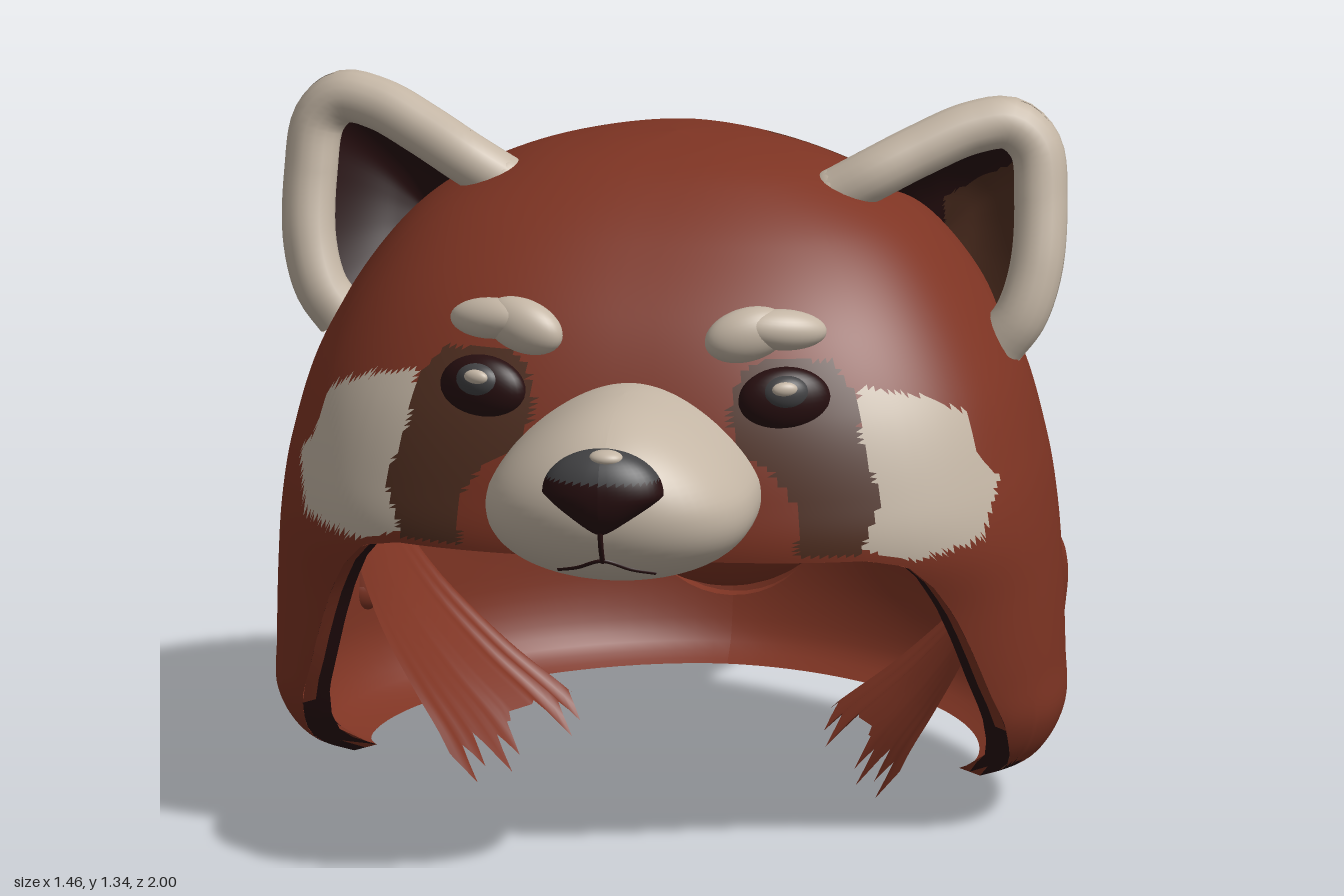
import * as THREE from 'three';

const V = (x, y, z) => new THREE.Vector3(x, y, z);
const RED = 0, CREAM = 1, BROWN = 2, DARK = 3, GREY = 4;

function makeMaterials() {
  return [['russetFur', 0x7e3423], ['creamFur', 0xc4b6a5], ['brownFur', 0x4f2e20],
    ['darkMaroon', 0x270f10], ['charcoal', 0x424244]].map(([name, color]) => {
    const m = new THREE.MeshStandardMaterial({ color, side: THREE.DoubleSide });
    m.name = name;
    return m;
  });
}

// Surface from a rule point(u, v); paint(centre, u, v) picks the colour of each face
function grid(nu, nv, point, paint, flip = false) {
  const pts = [], lists = [[], [], [], [], []];
  for (let j = 0; j <= nv; j++) for (let i = 0; i <= nu; i++) pts.push(point(i / nu, j / nv));
  const tri = (a, b, c, u, v) => {
    const m = pts[a].clone().add(pts[b]).add(pts[c]).divideScalar(3);
    lists[paint(m, u, v)].push(...(flip ? [a, c, b] : [a, b, c]));
  };
  for (let j = 0; j < nv; j++) for (let i = 0; i < nu; i++) {
    const a = j * (nu + 1) + i, b = a + nu + 1;
    tri(a, b, a + 1, (i + 0.5) / nu, (j + 0.5) / nv);
    tri(b, b + 1, a + 1, (i + 0.5) / nu, (j + 0.5) / nv);
  }
  const geo = new THREE.BufferGeometry().setFromPoints(pts);
  geo.setIndex(lists.flat());
  let start = 0;
  lists.forEach((l, k) => { if (l.length) geo.addGroup(start, l.length, k); start += l.length; });
  geo.computeVertexNormals();
  return geo;
}

function inside(poly, x, y) {
  let hit = false;
  poly.forEach(([ax, ay], i) => {
    const [bx, by] = poly[(i + 1) % poly.length];
    if ((ay > y) !== (by > y) && x < ax + (bx - ax) * (y - ay) / (by - ay)) hit = !hit;
  });
  return hit;
}

// Hood rings: height, half width, front z, back z, z of the widest point
const RINGS = [
  [1.252, 0, 0.08, 0.08, 0.08], [1.238, 0.15, 0.2, -0.06, 0.08], [1.2, 0.3, 0.3, -0.16, 0.08],
  [1.12, 0.45, 0.42, -0.31, 0.09], [1.0, 0.56, 0.54, -0.45, 0.1], [0.85, 0.645, 0.62, -0.56, 0.12],
  [0.7, 0.69, 0.66, -0.615, 0.13], [0.58, 0.71, 0.665, -0.635, 0.13], [0.45, 0.72, 0.6, -0.635, 0.13],
  [0.3, 0.725, 0.54, -0.635, 0.13], [0.2, 0.725, 0.48, -0.625, 0.13], [0.12, 0.68, 0.41, -0.6, 0.12],
  [0.078, 0.6, 0.31, -0.55, 0.1]];
const curves = [0, 1, 2, 3, 4].map(k => new THREE.SplineCurve(RINGS.map((r, i) => new THREE.Vector2(i, r[k]))));
const ring = q => curves.map(c => c.getPoint(q).y);

// Height of the hood's lower edge by angle from the front, in degrees
const EDGE = [[0, 0.59], [32, 0.588], [40, 0.57], [45, 0.52], [49, 0.455], [53, 0.37], [57, 0.28], [62, 0.18],
  [72, 0.08], [181, 0.078]];
function edgeHeight(deg) {
  const i = Math.max(1, EDGE.findIndex(e => e[0] >= deg));
  const [a, ya] = EDGE[i - 1], [b, yb] = EDGE[i];
  return ya + (yb - ya) * (deg - a) / (b - a);
}

function hoodPoint(u, v) {
  const th = (u * 2 - 1) * Math.PI, end = edgeHeight(Math.abs(th) * 180 / Math.PI);
  let lo = 0, hi = 1;
  for (let i = 0; i < 18; i++) {
    const mid = (lo + hi) / 2;
    if (curves[0].getPoint(mid).y > end) lo = mid; else hi = mid;
  }
  const [y, w, zf, zb, cz] = ring(lo * v), s = Math.sin(th), c = Math.cos(th);
  const e = c > 0 ? 2 / 2.6 : 2 / 1.8;
  const x = w * Math.sign(s) * Math.abs(s) ** e;
  return V(x, y, cz + (c > 0 ? zf - cz : zb - cz) * Math.abs(c) ** e);
}
function liningPoint(u, v) {
  const p = hoodPoint(u, v);
  return V(p.x * 0.93, p.y - 0.05 * (1 - v) + 0.01 * v, 0.02 + (p.z - 0.02) * 0.93);
}

const CHEEK = [[0.41, 0.9], [0.52, 0.87], [0.59, 0.83], [0.62, 0.74], [0.65, 0.7], [0.63, 0.6], [0.52, 0.58],
  [0.43, 0.61], [0.46, 0.7], [0.42, 0.81]];
const MASK = [[0.2, 0.93], [0.24, 0.95], [0.36, 0.945], [0.41, 0.88], [0.42, 0.81], [0.46, 0.7], [0.43, 0.6],
  [0.31, 0.6], [0.32, 0.68], [0.27, 0.75], [0.2, 0.79], [0.18, 0.86]];
function paintHood(p) {
  const x = Math.abs(p.x);
  if (p.z > 0.2 && inside(CHEEK, x, p.y)) return CREAM;
  if (p.z > 0.2 && inside(MASK, x, p.y)) return BROWN;
  if (p.y < 0.115 + 0.01 * Math.sin(p.z * 60) && p.z > -0.02) return p.z > 0.18 ? DARK : BROWN;
  if (p.y > 1.1 && p.z > -0.05 && p.z < -0.03 && x > 0.15 && x < 0.33) return BROWN;
  return RED;
}

// Muzzle: a rounded block, narrower towards the bridge of the nose and fuller below
const muzzleWidth = yn => 0.243 * (1 - 0.3 * Math.max(0, yn) + 0.22 * Math.max(0, -yn));
const muzzleZ = (x, y) => {
  const yn = (y - 0.745) / 0.165, xn = x / muzzleWidth(yn);
  return 0.69 + 0.282 * Math.max(0, 1 - xn * xn - yn * yn) ** 0.36;
};
const unit = (u, v) => {
  const a = u * Math.PI * 2, b = v * Math.PI;
  return V(Math.sin(a) * Math.sin(b), Math.cos(b), Math.cos(a) * Math.sin(b));
};

export function createModel() {
  const root = new THREE.Group(), mats = makeMaterials();
  root.name = 'animalHat';
  const add = (name, geo, mat = mats) => {
    const m = new THREE.Mesh(geo, mat);
    m.name = name;
    root.add(m);
    return m;
  };
  const blob = (name, color, pos, size, yaw = 0, roll = 0) => {
    const m = add(name, new THREE.SphereGeometry(1, 32, 20), mats[color]);
    m.position.set(...pos);
    m.scale.set(...size);
    m.rotation.set(0, yaw, roll);
  };
  const tube = (name, color, pts, r) =>
    add(name, new THREE.TubeGeometry(new THREE.CatmullRomCurve3(pts.map(p => V(...p))), 32, r, 12), mats[color]);

  // Hood shell, lining and the edge between them
  add('hood', grid(240, 110, hoodPoint, paintHood));
  add('lining', grid(96, 40, liningPoint, p => (p.z > 0.24 ? DARK : RED), true));
  add('hoodEdge', grid(160, 2, (u, v) => hoodPoint(u, 1).lerp(liningPoint(u, 1), v),
    (p, u, v) => (p.z > 0.2 && (v > 0.5 || p.y < 0.2) ? DARK : RED)));

  // Round pad over the back: rear half of an ellipsoid
  const pad = add('backPad', new THREE.SphereGeometry(1, 40, 32, Math.PI, Math.PI), mats[RED]);
  pad.position.set(0, 0.78, -0.1);
  pad.scale.set(0.6, 0.37, 0.54);

  // Tail: round stub, its root showing inside the hood
  const tail = [[0, -1], [0.07, -0.987], [0.13, -0.95], [0.175, -0.89], [0.195, -0.81], [0.188, -0.73],
    [0.172, -0.65], [0.17, -0.55]];
  const tailMesh = add('tail', new THREE.LatheGeometry(
    new THREE.SplineCurve(tail.map(([r, z]) => new THREE.Vector2(r, z))).getPoints(36)
      .map(p => new THREE.Vector2(Math.max(0, p.x), p.y)), 40), mats[RED]);
  tailMesh.rotation.x = Math.PI / 2;
  tailMesh.position.y = 0.378;
  blob('tailRoot', RED, [0, 0.41, -0.52], [0.207, 0.17, 0.18]);

  // Muzzle, nose and mouth
  add('muzzle', grid(64, 40, (u, v) => {
    const p = unit(u, v);
    return V(p.x * muzzleWidth(p.y), 0.745 + p.y * 0.165, 0.69 + Math.sign(p.z) * 0.282 * Math.abs(p.z) ** 0.72);
  }, () => CREAM));
  add('nose', grid(40, 30, (u, v) => {
    const p = unit(u, v);
    return V(p.x * 0.113 * (p.y < 0 ? 1 + 0.65 * p.y : 1), 0.785 + p.y * 0.083, 0.935 + p.z * 0.065);
  }, p => (p.y > 0.815 ? GREY : DARK)));
  blob('noseShine', CREAM, [0.008, 0.856, 0.952], [0.032, 0.015, 0.025]);
  const onMuzzle = ([x, y]) => [x, y, muzzleZ(x, y)];
  tube('lipLine', DARK, [[0, 0.73], [0, 0.69], [0, 0.655]].map(onMuzzle), 0.005);
  tube('mouth', DARK, [[-0.09, 0.625], [-0.05, 0.638], [0, 0.658], [0.05, 0.638], [0.09, 0.625]].map(onMuzzle), 0.004);

  for (const s of [1, -1]) {
    const side = s > 0 ? 'left' : 'right';

    // Eyes and brows
    blob(side + 'Eye', DARK, [s * 0.28, 0.88, 0.575], [0.086, 0.062, 0.042], s * 0.32);
    blob(side + 'Iris', GREY, [s * 0.285, 0.898, 0.595], [0.046, 0.034, 0.028], s * 0.32);
    blob(side + 'EyeShine', CREAM, [s * 0.287, 0.91, 0.615], [0.024, 0.014, 0.012], s * 0.32);
    blob(side + 'BrowInner', CREAM, [s * 0.208, 0.997, 0.56], [0.08, 0.05, 0.042], s * 0.3, s * 0.25);
    blob(side + 'BrowOuter', CREAM, [s * 0.27, 1.005, 0.545], [0.085, 0.038, 0.04], s * 0.4, s * -0.1);

    // Ear: thick rim, cupped back and dark inside
    const rimPts = [[0.31, 1.165, 0.16], [0.38, 1.205, 0.155], [0.46, 1.245, 0.125], [0.55, 1.282, 0.09], [0.62, 1.288, 0.07],
      [0.665, 1.245, 0.065], [0.678, 1.15, 0.085], [0.675, 1.03, 0.12], [0.65, 0.945, 0.14], [0.61, 0.89, 0.14]];
    const rim = new THREE.CatmullRomCurve3(rimPts.map(([x, y, z]) => V(s * x, y, z)));
    add(side + 'EarRim', new THREE.TubeGeometry(rim, 48, 0.049, 16), mats[CREAM]);
    const cup = (grow, depth, rise) => (u, v) => {
      const p = rim.getPoint(u), c = V(s * 0.46, 1.03, 0.04);
      p.add(p.clone().sub(c).setZ(0).normalize().multiplyScalar(grow * (1 - v)));
      p.lerp(c, v);
      p.z -= depth * Math.sin(Math.min(1, v * rise) * Math.PI / 2);
      return p;
    };
    add(side + 'EarBack', grid(80, 48, cup(0.049, 0.125, 2.4), p => {
      const h = p.y + 0.012 * Math.sin(p.x * 70) + 0.008 * Math.sin(p.x * 155 + 1), x = Math.abs(p.x);
      if (h > 1.12 + 0.15 * (0.6 - x) || p.z > 0.06) return CREAM;
      return h > 1.05 + 0.2 * (0.5 - x) ? BROWN : DARK;
    }, s < 0));
    add(side + 'EarInside', grid(48, 24, cup(0, 0.085, 1.5), p =>
      (s > 0 && p.y < 1.1 + 0.12 * (p.x - 0.45) / 0.2 && p.x > 0.48 ? BROWN : DARK), s > 0));
    blob(side + 'EarRimEnd', CREAM, [s * 0.31, 1.165, 0.16], [0.049, 0.049, 0.049]);

    // Small paw on the flank
    const paw = [[0.625, 0.455, -0.12], [0.64, 0.4, -0.155], [0.632, 0.3, -0.163]];
    tube(side + 'Paw', RED, paw.map(([x, y, z]) => [s * x, y, z]), 0.05);
    for (const [x, y, z] of [paw[0], paw[2]]) blob(side + 'PawEnd', RED, [s * x, y, z], [0.05, 0.05, 0.05]);

    // Tattered cloth slanting across the inside of the hood
    const cloth = new THREE.CatmullRomCurve3([V(0.6, 0.45, 0), V(0.53, 0.3, 0), V(0.45, 0.18, 0), V(0.38, 0.09, 0), V(0.32, 0, 0)]);
    add(side + 'Tatter', grid(36, 16, (u, v) => {
      const tooth = [0.84, 0.92, 1, 0.9, 0.82, 0.87, 0.94, 0.86, 0.78][Math.round(u * 36) % 9];
      const reach = u > 0.5 && u < 0.72 ? 0.74 : u < 0.5 ? tooth : tooth * 0.93;
      const p = cloth.getPoint(v * reach);
      return V(s * (p.x - (u - 0.3) * 0.2 * v), p.y, 0.1 - u * 0.35);
    }, () => RED, s < 0));
  }
  return root;
}
